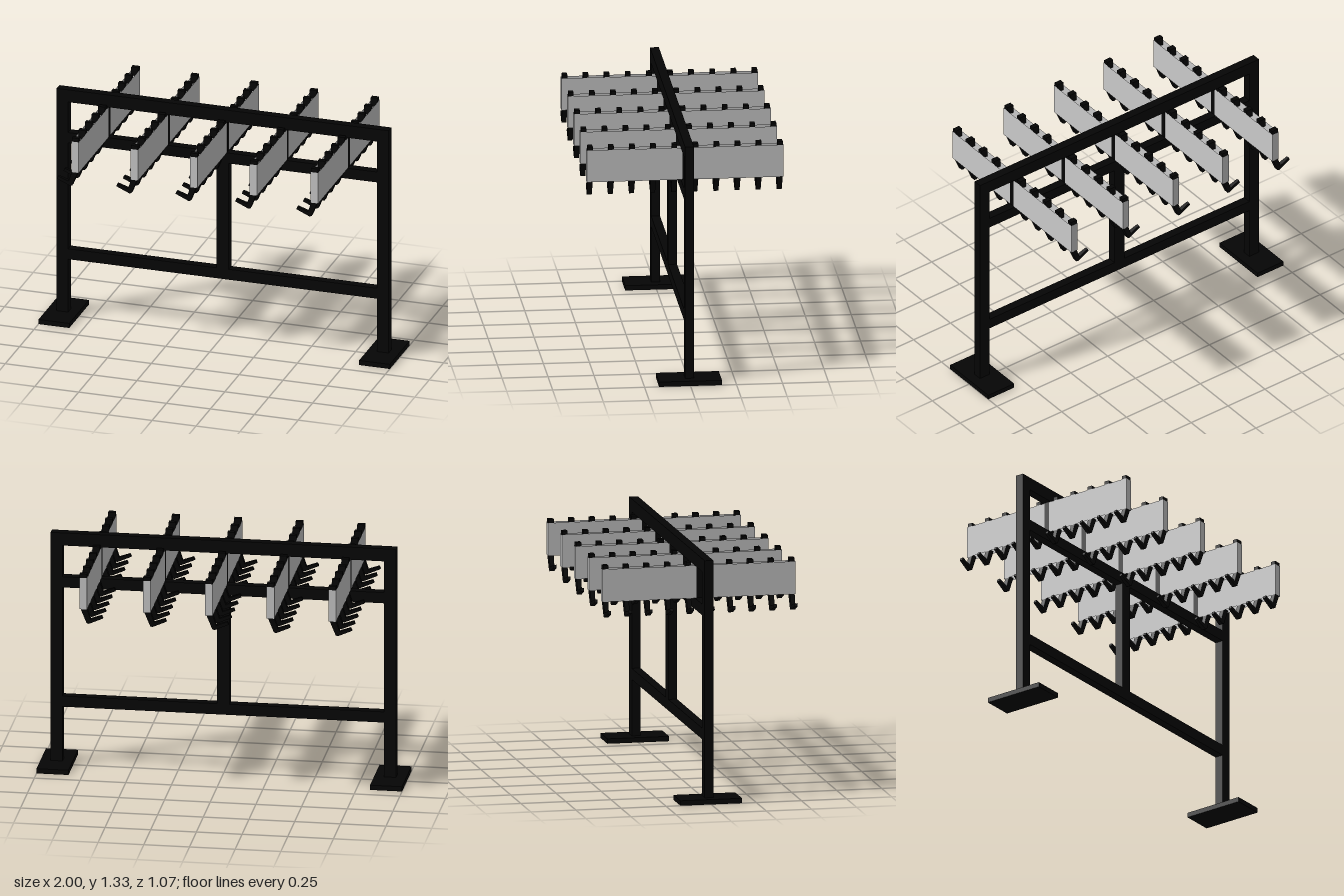
import * as THREE from 'three';

const black = new THREE.MeshStandardMaterial({ color: 0x050505 });
const grey = new THREE.MeshStandardMaterial({ color: 0xcccccc, side: THREE.DoubleSide });

// Box given by its lower and upper corners
function box(name, [x0, y0, z0], [x1, y1, z1], material = black) {
  const mesh = new THREE.Mesh(new THREE.BoxGeometry(x1 - x0, y1 - y0, z1 - z0), material);
  mesh.position.set((x0 + x1) / 2, (y0 + y1) / 2, (z0 + z1) / 2);
  mesh.name = name;
  return mesh;
}

// Hook: slanted leg below the board with an upturned arm towards -x, thinning to the tip
function hookGeometry() {
  const shape = new THREE.Shape([
    [0.018, 1.09], [-0.016, 1.09], [-0.039, 1.022], [-0.099, 1.044],
    [-0.106, 1.028], [-0.03, 0.996], [-0.018, 1.0],
  ].map(([x, y]) => new THREE.Vector2(x, y)));
  const width = 0.03;
  const geo = new THREE.ExtrudeGeometry(shape, { depth: width, bevelEnabled: false });
  geo.translate(0, 0, -width / 2);
  const p = geo.attributes.position;
  for (let i = 0; i < p.count; i++) {
    const t = THREE.MathUtils.clamp((0.018 - p.getX(i)) / 0.124, 0, 1);
    // the back edge draws in further than the front edge
    p.setZ(i, p.getZ(i) * (1 - (p.getZ(i) < 0 ? 0.65 : 0.25) * t));
  }
  geo.computeVertexNormals();
  return geo;
}

export function createModel() {
  const model = new THREE.Group();
  const d = 0.024; // half depth of the frame bars

  // Frame
  const frame = new THREE.Group();
  frame.name = 'frame';
  for (const [side, s] of [['left', 1], ['right', -1]]) {
    const post = box(side + 'Post', [-0.0325, 0.02, -d], [0.0325, 1.333, d]);
    post.position.x = s * 0.9125;
    const foot = box(side + 'Foot', [-0.0875, 0, -0.171], [0.0875, 0.027, 0.171]);
    foot.position.x = s * 0.9125;
    frame.add(post, foot);
  }
  frame.add(
    box('topRail', [-0.89, 1.261, -d], [0.89, 1.333, d]),
    box('middleRail', [-0.89, 1.021, -d], [0.89, 1.082, d]),
    box('bottomRail', [-0.89, 0.338, -d], [0.89, 0.399, d]),
    box('centrePost', [-0.034, 0.39, -d], [0.034, 1.03, d]),
  );
  model.add(frame);

  // Boards slung between the upper rails, each with a row of hooks
  const hookGeo = hookGeometry();
  [-0.673, -0.335, 0.002, 0.342, 0.69].forEach((x, n) => {
    const rack = new THREE.Group();
    rack.name = 'rack' + (n + 1);
    rack.position.x = x;

    // Sleeve open along its upper and lower edges
    const board = box('board', [-0.021, 1.08, -0.535], [0.021, 1.26, 0.535], grey);
    const index = Array.from(board.geometry.index.array);
    board.geometry.setIndex(index.filter((v, i) => i < 12 || i >= 24));
    board.geometry.clearGroups();
    rack.add(board, box('strut', [-0.0216, 1.08, -0.015], [0.0216, 1.263, 0.015]));

    for (let i = 0; i < 10; i++) {
      const z = (i - 4.5) * 0.1148;
      const hook = new THREE.Mesh(hookGeo, black);
      hook.name = 'hook';
      hook.position.z = z;
      rack.add(hook, box('hookCap', [-0.02, 1.23, z - 0.014], [0.02, 1.28, z + 0.014]));
    }
    model.add(rack);
  });

  return model;
}
